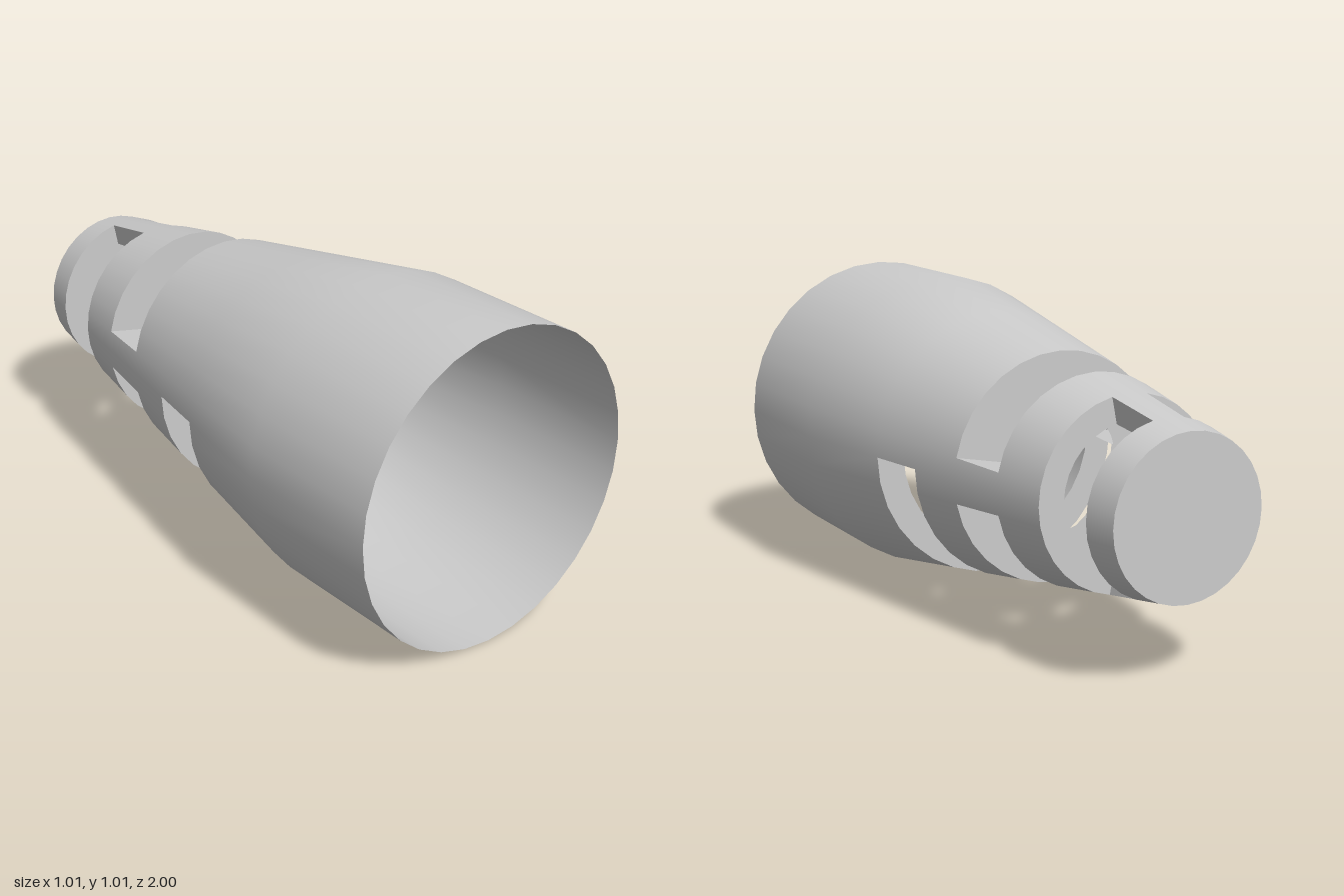
import * as THREE from 'three';

const SIDES = 32, STEP = (Math.PI * 2) / SIDES;
const R = 0.505, BACK_R = 0.25;

// Outer radius: straight front half, then a taper to the back
const radius = z => (z >= 0.5 ? R : R - (0.5 - z) * (R - BACK_R) / 1.5);

export function createModel() {
  const group = new THREE.Group();
  group.position.y = R;
  const root = new THREE.Group();
  root.add(group);
  const material = new THREE.MeshStandardMaterial({ color: 0xcccccc, side: THREE.DoubleSide });

  const add = (name, geometry) => {
    const mesh = new THREE.Mesh(geometry, material);
    mesh.name = name;
    group.add(mesh);
  };

  // Revolve [radius, z] points about z; steps count from the bottom towards +x
  const revolve = (name, points, from = 0, count = SIDES) => {
    const pts = points.map(p => new THREE.Vector2(p[0], p[1]));
    add(name, new THREE.LatheGeometry(pts, count, from * STEP, count * STEP).rotateX(Math.PI / 2));
  };

  // Thin outer skin between listed z positions, scaled by k
  const skin = (name, zs, from, count, k = 1) =>
    revolve(name, zs.map(z => [radius(z) * k, z]), from, count);

  // Flat ring reaching inward from the skin
  const flange = (name, z, k, from, count) =>
    revolve(name, [[radius(z), z], [radius(z) * k, z]], from, count);

  // Radial wall closing the end of a slot
  const slotWall = (name, z0, z1, k, step) => {
    const shape = new THREE.Shape([[z0, 1], [z1, 1], [z1, k], [z0, k]]
      .map(([z, s]) => new THREE.Vector2(radius(z) * s, z)));
    add(name, new THREE.ShapeGeometry(shape).rotateX(Math.PI / 2).rotateZ(step * STEP - Math.PI / 2));
  };

  // Full skin sections
  skin('frontBody', [0.1, 0.5, 1]);
  skin('middleBand', [-0.3, -0.1]);
  skin('rearBand', [-0.69, -0.5]);
  skin('endBand', [-1, -0.89]);
  revolve('endCap', [[0, -1], [BACK_R, -1]]);

  // Lower half slot
  skin('upperHalfSkin', [-0.1, 0.1], 8, 16);
  for (const z of [-0.1, 0.1]) flange('lowerSlotFlange', z, 0.79, -8, 16);
  for (const step of [-8, 8]) slotWall('lowerSlotWall', -0.1, 0.1, 0.79, step);

  // Ring slots, each crossed by two opposite bridges
  const bridgedSlot = (name, z0, z1, k, centres) => {
    for (const z of [z0, z1]) flange(name + 'Flange', z, k);
    for (const c of centres) {
      skin(name + 'BridgeOuter', [z0, z1], c - 1, 2);
      skin(name + 'BridgeInner', [z0, z1], c - 1, 2, k);
      for (const s of [-1, 1]) slotWall(name + 'BridgeSide', z0, z1, k, c + s);
    }
  };
  bridgedSlot('sideSlot', -0.5, -0.3, 0.555, [8, 24]);
  bridgedSlot('rearSlot', -0.89, -0.69, 0.725, [0, 16]);

  return root;
}
